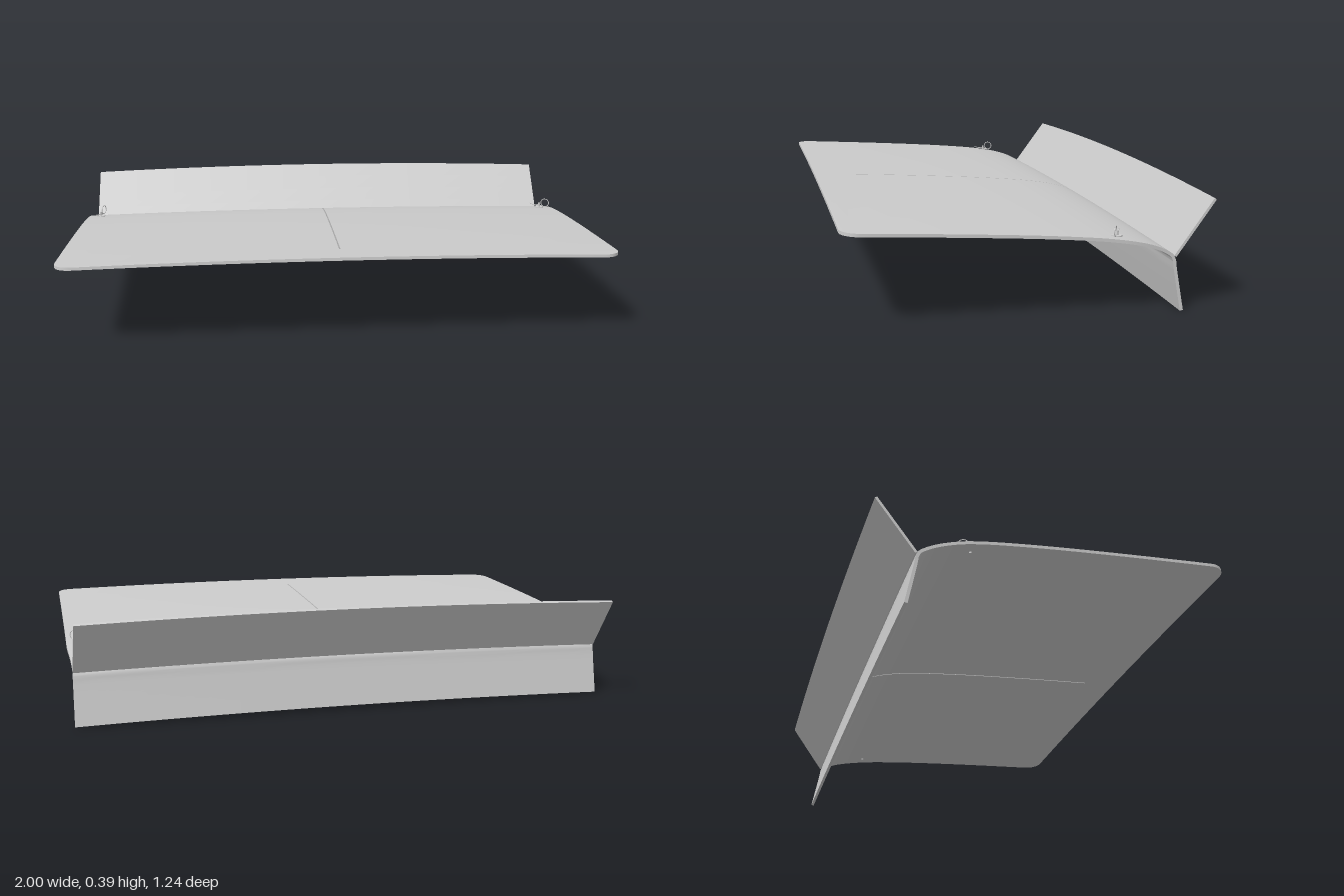
import * as THREE from 'three';
import { toCreasedNormals } from 'three/addons/utils/BufferGeometryUtils.js';

const grey = new THREE.MeshStandardMaterial({ color: 0xcccccc });
const SLIT = 0.0025;

// columns across the width, from -1 to 1, with a narrow pair at the middle
const columns = [];
for (let i = -12; i <= 12; i++) {
  if (i === 0) columns.push(-SLIT, SLIT);
  else columns.push(i / 12);
}

// Thick bent sheet. Each row is { z, y, w (half width), crown, bow }.
function sheet(rows, thickness, isOpen = () => false) {
  const point = (i, j, under) => {
    const r = rows[i], a = rows[Math.max(i - 1, 0)], b = rows[Math.min(i + 1, rows.length - 1)];
    const dz = b.z - a.z, dy = b.y - a.y, len = Math.hypot(dz, dy);
    const u = columns[j], t = under ? thickness : 0;
    return [u * r.w, r.y - r.crown * u * u + (t * dz) / len, r.z + r.bow * u * u - (t * dy) / len];
  };
  const solid = (i, j) => i >= 0 && j >= 0 && i < rows.length - 1 && j < columns.length - 1 && !isOpen(i, j);
  const pos = [];
  const quad = (a, b, c, d) => pos.push(...a, ...b, ...c, ...a, ...c, ...d);
  for (let i = 0; i < rows.length - 1; i++) {
    for (let j = 0; j < columns.length - 1; j++) {
      if (!solid(i, j)) continue;
      const ids = [[i, j], [i, j + 1], [i + 1, j + 1], [i + 1, j]];
      const top = ids.map(([p, q]) => point(p, q, false));
      const low = ids.map(([p, q]) => point(p, q, true));
      quad(...top);
      quad(low[3], low[2], low[1], low[0]);
      // walls wherever the neighbouring cell is missing
      [[i - 1, j], [i, j + 1], [i + 1, j], [i, j - 1]].forEach(([p, q], k) => {
        const n = (k + 1) % 4;
        if (!solid(p, q)) quad(low[k], low[n], top[n], top[k]);
      });
    }
  }
  const geo = new THREE.BufferGeometry();
  geo.setAttribute('position', new THREE.Float32BufferAttribute(pos, 3));
  return toCreasedNormals(geo, 0.6);
}

// Wide panel with rounded front corners, curling down into the rear flange
function panelRows() {
  const rows = [], r = 0.06, crown = 0.012, front = 0.617;
  const add = (z, y, w) => rows.push({ z, y, w, crown, bow: 0 });
  for (let k = 0; k <= 8; k++) {
    const a = (Math.PI / 2) * (1 - k / 8);
    const z = front - r + r * Math.sin(a);
    add(z, 0.296 + z * 0.06, 1 - r + r * Math.cos(a));
  }
  const curve = new THREE.CatmullRomCurve3([
    [0.49, 0.326], [0.25, 0.312], [0, 0.295], [-0.15, 0.282], [-0.25, 0.271], [-0.34, 0.256],
    [-0.41, 0.237], [-0.45, 0.219], [-0.471, 0.204], [-0.48, 0.186], [-0.483, 0.165],
    [-0.495, 0.1], [-0.512, 0.012],
  ].map(([z, y]) => new THREE.Vector3(0, y, z)), false, 'centripetal');
  curve.getPoints(48).forEach((p) => add(p.z, p.y, 1 - 0.012 * THREE.MathUtils.smoothstep(-p.z, 0.3, 0.49)));
  return rows;
}

// Straight fin leaning back from the bend
function finRows() {
  const rows = [];
  for (let k = 0; k <= 4; k++) {
    const t = k / 4;
    rows.push({
      z: -0.474 - 0.143 * t, y: 0.2 + 0.192 * t, w: 0.988 - 0.004 * t,
      crown: 0.012 + 0.006 * t, bow: 0.007 * t,
    });
  }
  return rows;
}

// Small fastening pin with a washer and a looped wire clip
function makePin(x, z, angle) {
  const pin = new THREE.Group();
  const add = (name, geo, px, py) => {
    const m = new THREE.Mesh(geo, grey);
    m.name = name;
    m.position.set(px, py, 0);
    pin.add(m);
  };
  add('pinWasher', new THREE.CylinderGeometry(0.018, 0.018, 0.004, 20), 0, 0.004);
  add('pinPost', new THREE.CylinderGeometry(0.005, 0.005, 0.036, 12), 0, 0.003);
  add('clipLoop', new THREE.TorusGeometry(0.017, 0.0017, 8, 28), 0.025, 0.024);
  const wire = new THREE.CatmullRomCurve3([
    [0.025, 0.007], [0.008, 0.01], [-0.006, 0.013], [-0.022, 0.012], [-0.042, 0.017],
  ].map(([a, b]) => new THREE.Vector3(a, b, 0)));
  add('clipWire', new THREE.TubeGeometry(wire, 16, 0.0017, 8), 0, 0);
  pin.position.set(x, 0.253, z);
  pin.rotation.y = angle;
  return pin;
}

export function createModel() {
  const model = new THREE.Group();
  model.name = 'bentPanel';

  // main panel and flange, with a fine slit along the middle
  const rows = panelRows();
  const mid = columns.indexOf(-SLIT);
  const slit = (i, j) => j === mid && rows[i].z < 0.5 && rows[i + 1].z > -0.462;
  const panel = new THREE.Mesh(sheet(rows, 0.011, slit), grey);
  panel.name = 'panelAndFlange';
  model.add(panel);

  const fin = new THREE.Mesh(sheet(finRows(), 0.009), grey);
  fin.name = 'rearFin';
  model.add(fin);

  // pins, with the clips turned differently on each side
  const rightPin = makePin(-0.949, -0.29, 1.16);
  rightPin.name = 'rightPin';
  const leftPin = makePin(0.949, -0.287, -0.54);
  leftPin.name = 'leftPin';
  model.add(rightPin, leftPin);
  return model;
}
